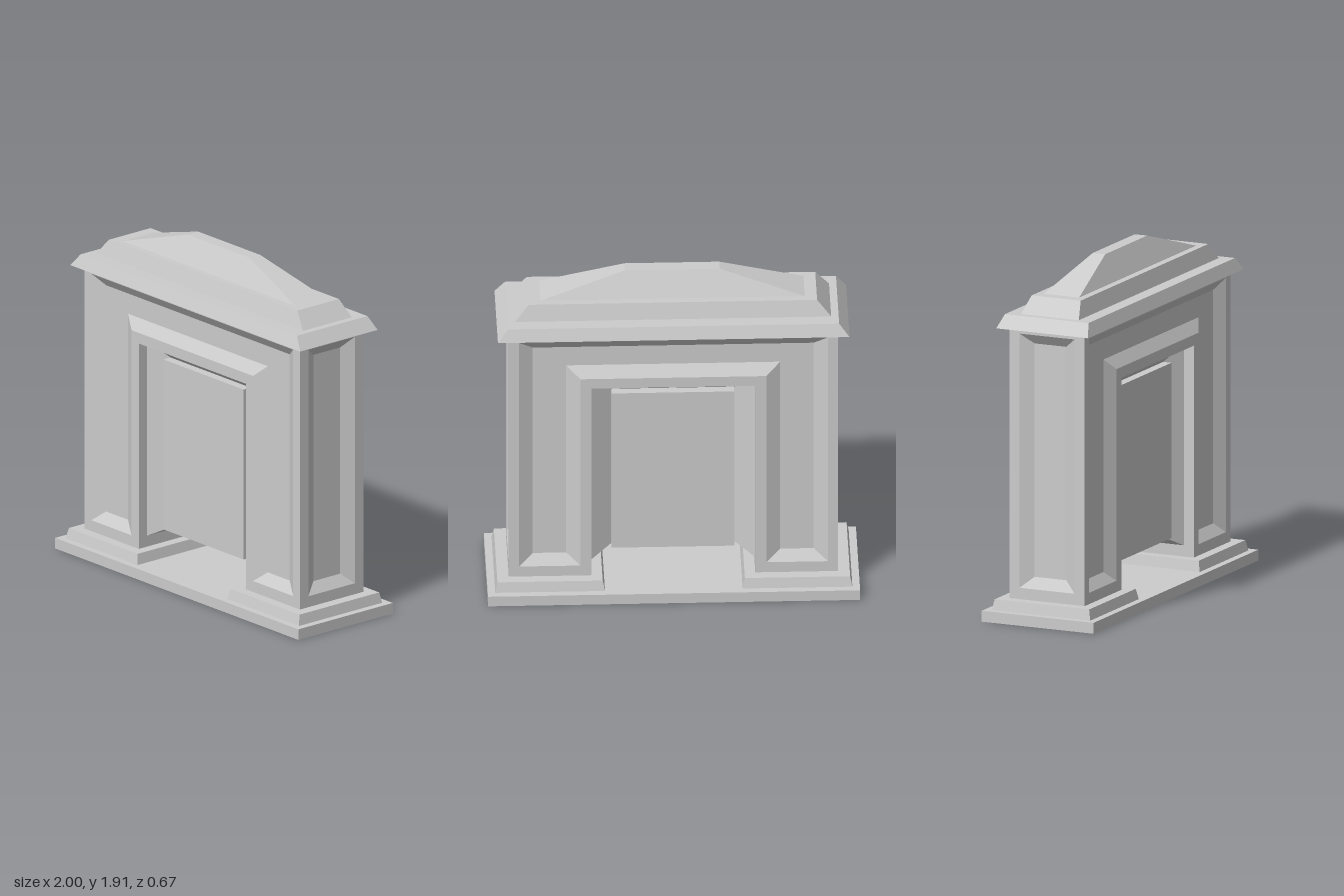
import * as THREE from 'three';
import { mergeGeometries } from 'three/addons/utils/BufferGeometryUtils.js';

const stone = new THREE.MeshStandardMaterial({ color: 0xcccccc });
stone.name = 'stone';

// Flat-shaded quads joining consecutive cross-sections (plus optional single quads)
function loft(sections, caps = []) {
  const pos = [];
  const quad = (a, b, c, d) => pos.push(...a, ...b, ...c, ...a, ...c, ...d);
  for (let i = 0; i < sections.length - 1; i++) {
    const s = sections[i], t = sections[i + 1];
    for (let j = 0; j < s.length - 1; j++) quad(s[j], s[j + 1], t[j + 1], t[j]);
  }
  caps.forEach((c) => quad(...c));
  const geo = new THREE.BufferGeometry();
  geo.setAttribute('position', new THREE.Float32BufferAttribute(pos, 3));
  geo.computeVertexNormals();
  return geo;
}

// Flat face with a bevelled recess; all outlines run counter-clockwise
function recessedFace(outer, rim, floor, depth) {
  const vec = (pts) => pts.map(([x, y]) => new THREE.Vector2(x, y));
  const flat = (shape, z) => {
    const geo = new THREE.ShapeGeometry(shape).toNonIndexed();
    geo.deleteAttribute('uv');
    return geo.translate(0, 0, z);
  };
  const border = new THREE.Shape(vec(outer));
  border.holes.push(new THREE.Path(vec(rim)));
  const loop = (pts, z) => [...pts, pts[0]].map(([x, y]) => [x, y, z]);
  return mergeGeometries([
    flat(border, 0),
    flat(new THREE.Shape(vec(floor)), -depth),
    loft([loop(rim, 0), loop(floor, -depth)]),
  ]);
}

const uShape = (w, y0, y1, wi, yi) => [
  [-w, y0], [-wi, y0], [-wi, yi], [wi, yi], [wi, y0], [w, y0], [w, y1], [-w, y1],
];
const rect = (w, y0, y1) => [[-w, y0], [w, y0], [w, y1], [-w, y1]];
const archPath = (w, y0, y1) => [[-w, y0], [-w, y1], [w, y1], [w, y0]];

// Box tapering from bottom half-sizes to top half-sizes
function taper(y0, y1, bx, bz, tx, tz) {
  const geo = new THREE.BoxGeometry(2, 1, 2);
  const p = geo.attributes.position;
  for (let i = 0; i < p.count; i++) {
    const top = p.getY(i) > 0;
    p.setXYZ(i, p.getX(i) * (top ? tx : bx), top ? y1 : y0, p.getZ(i) * (top ? tz : bz));
  }
  geo.computeVertexNormals();
  return geo;
}

export function createModel() {
  const model = new THREE.Group();
  model.name = 'stoneSurround';
  const add = (name, geo, x = 0, z = 0, turn = 0) => {
    const mesh = new THREE.Mesh(geo, stone);
    mesh.name = name;
    mesh.position.set(x, 0, z);
    mesh.rotation.y = turn;
    model.add(mesh);
  };

  // Base slab and the two plinths
  add('baseSlab', taper(0, 0.06, 1, 0.335, 1, 0.335));
  for (const s of [1, -1]) {
    add(s > 0 ? 'leftPlinth' : 'rightPlinth', taper(0.06, 0.118, 0.295, 0.295, 0.283, 0.283), s * 0.665);
  }

  // Body: front and back arches, outer sides
  const depth = 0.04;
  const arch = recessedFace(
    uShape(0.885, 0.115, 1.61, 0.44, 1.285),
    uShape(0.83, 0.18, 1.58, 0.5, 1.345),
    uShape(0.755, 0.24, 1.525, 0.575, 1.41), depth);
  add('frontArch', arch, 0, 0.225);
  add('backArch', arch, 0, -0.225, Math.PI);
  const side = recessedFace(
    rect(0.225, 0.115, 1.61), rect(0.165, 0.18, 1.58), rect(0.095, 0.24, 1.525), depth);
  add('leftSide', side, 0.885, 0, Math.PI / 2);
  add('rightSide', side, -0.885, 0, -Math.PI / 2);

  // Inside of the opening
  add('openingLining', loft(archPath(0.44, 0.115, 1.285).map(
    ([x, y]) => [[x, y, 0.225], [x, y, -0.225]])));

  // Raised bevelled frame inside the opening
  const inner = archPath(0.33, 0.24, 1.205);
  const frame = archPath(0.44, 0.18, 1.285).map(([x, y], i) => {
    const [u, v] = inner[i];
    return [[x, y, 0.165], [u, v, 0.095], [u, v, -0.095], [x, y, -0.165]];
  });
  add('openingFrame', loft(frame, [[...frame[0]].reverse(), frame[3]]));

  // Panel filling the frame
  add('centrePanel', taper(0.24, 1.205, 0.33, 0.145, 0.33, 0.145));

  // Stepped cornice and hipped cap
  add('cornice', taper(1.61, 1.68, 0.945, 0.275, 0.89, 0.25));
  add('upperCornice', taper(1.68, 1.77, 0.85, 0.173, 0.775, 0.147));
  add('cap', taper(1.77, 1.91, 0.71, 0.106, 0.255, 0.037));

  return model;
}
